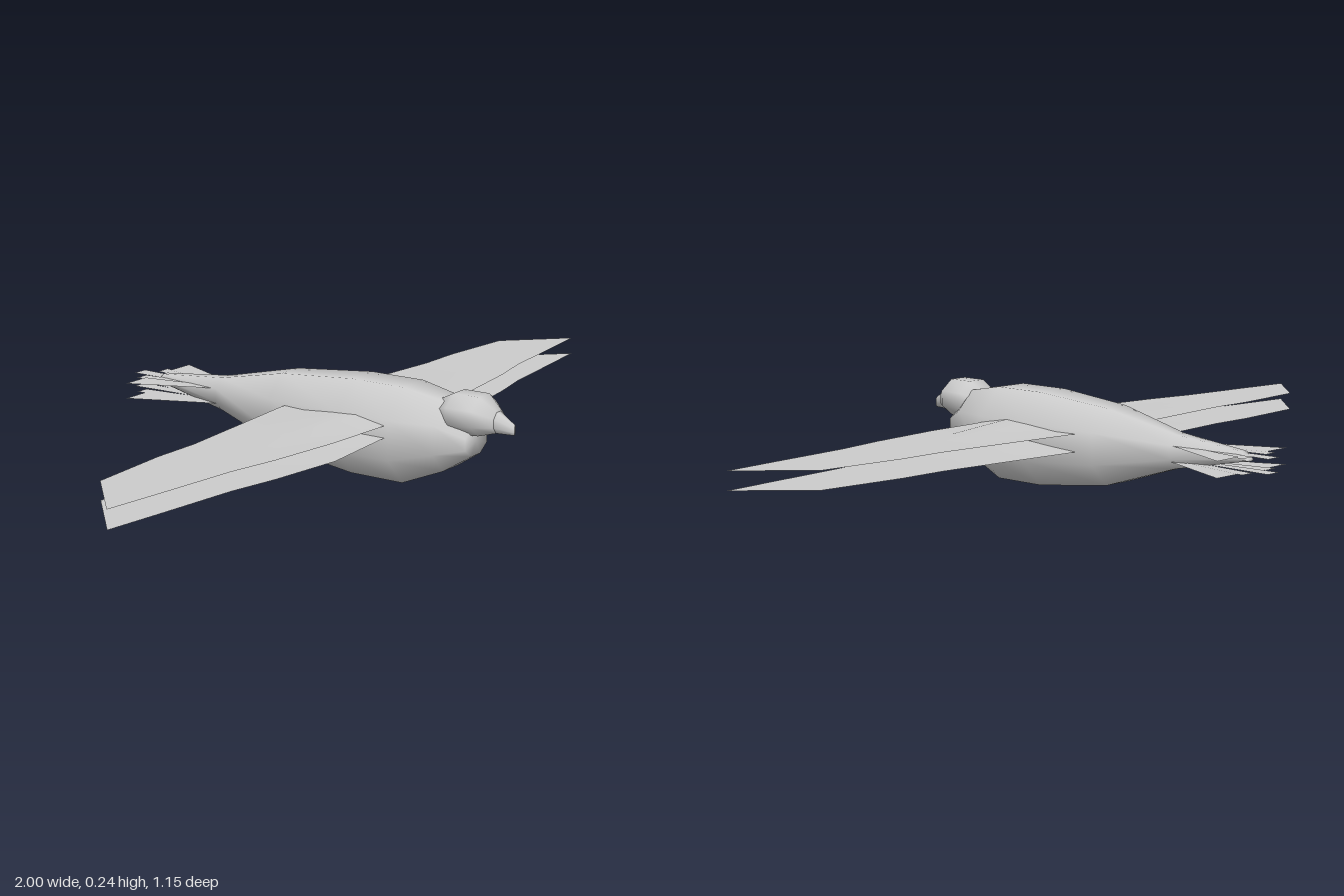
import * as THREE from 'three';

const smooth = new THREE.MeshStandardMaterial({ color: 0xcccccc });
const sheetMaterial = new THREE.MeshStandardMaterial({ color: 0xcccccc, side: THREE.DoubleSide });

function makeMesh(name, positions, index, material) {
  const geometry = new THREE.BufferGeometry();
  geometry.setAttribute('position', new THREE.Float32BufferAttribute(positions, 3));
  geometry.setIndex(index);
  geometry.computeVertexNormals();
  const mesh = new THREE.Mesh(geometry, material);
  mesh.name = name;
  return mesh;
}

// Eight-sided loft through sections [z, bottom, top, halfWidth], from back to front.
function loft(name, sections) {
  const sides = 8, positions = [], index = [];
  const grow = 1 / Math.cos(Math.PI / sides);
  const first = sections[0], last = sections[sections.length - 1];
  const point = ([z, bottom, top]) => [z, (bottom + top) / 2, (bottom + top) / 2, 0];
  const rings = [point(first), ...sections, point(last)];
  rings.forEach(([z, bottom, top, w]) => {
    for (let k = 0; k < sides; k++) {
      const a = ((k + 0.5) / sides) * Math.PI * 2;
      positions.push(Math.cos(a) * w * grow,
        (bottom + top) / 2 + Math.sin(a) * grow * (top - bottom) / 2, z);
    }
  });
  for (let i = 0; i < rings.length - 1; i++) {
    for (let k = 0; k < sides; k++) {
      const a = i * sides + k, b = i * sides + (k + 1) % sides;
      index.push(a, b, b + sides, a, b + sides, a + sides);
    }
  }
  return makeMesh(name, positions, index, smooth);
}

// Wing sheet: stations [x, leading z, trailing z], arched only near the root.
const stations = [
  [0.06, 0.285, -0.03], [0.11, 0.28, -0.03], [0.3, 0.27, -0.01], [0.5, 0.245, 0.01],
  [0.63, 0.22, 0.01], [0.85, 0.197, 0.03], [1, 0.18, 0.18],
];
function wingSheet(name, side, y, camber) {
  const positions = [], index = [], n = camber.length;
  stations.forEach(([x, lead, trail]) => {
    const arch = Math.max(0, 1 - (x - 0.11) / 0.19);
    camber.forEach(([t, rise]) => {
      positions.push(side * x, y + rise * Math.min(arch, 1), lead + (trail - lead) * t);
    });
  });
  for (let i = 0; i < stations.length - 1; i++) {
    for (let j = 0; j < n - 1; j++) {
      const a = i * n + j, b = a + 1, c = a + n, d = c + 1;
      if (side > 0) index.push(a, c, d, a, d, b);
      else index.push(a, d, c, a, b, d);
    }
  }
  return makeMesh(name, positions, index, sheetMaterial);
}

// Flat tail feather with four corners [x, z].
function feather(name, side, y, corners) {
  const positions = corners.flatMap(([x, z]) => [side * x, y, z]);
  return makeMesh(name, positions, side > 0 ? [0, 1, 2, 0, 2, 3] : [0, 2, 1, 0, 3, 2], sheetMaterial);
}

export function createModel() {
  const bird = new THREE.Group();
  bird.name = 'bird';

  // Body from tail tip to breast
  bird.add(loft('body', [
    [-0.508, 0.132, 0.138, 0.012], [-0.49, 0.13, 0.155, 0.02], [-0.29, 0.09, 0.175, 0.04],
    [-0.08, 0.025, 0.22, 0.087], [0.14, 0, 0.24, 0.11], [0.29, 0, 0.24, 0.11],
    [0.4, 0.045, 0.22, 0.085], [0.47, 0.09, 0.16, 0.05],
  ]));

  // Head and hooked beak
  bird.add(loft('head', [
    [0.38, 0.15, 0.22, 0.045], [0.42, 0.14, 0.24, 0.06], [0.49, 0.145, 0.24, 0.06],
    [0.53, 0.155, 0.21, 0.028],
  ]));
  bird.add(loft('beak', [[0.515, 0.155, 0.212, 0.028], [0.535, 0.155, 0.204, 0.02], [0.575, 0.155, 0.18, 0.004]]));

  // Wings: an upper and a lower sheet on each side
  const upperCamber = [[0, 0], [0.27, 0.015], [0.48, 0.011], [0.8, 0], [1, 0]];
  const lowerCamber = [[0, 0.015], [0.27, 0.015], [0.48, 0.015], [0.8, 0.005], [1, 0]];
  for (const side of [1, -1]) {
    const wing = new THREE.Group();
    wing.name = side > 0 ? 'leftWing' : 'rightWing';
    wing.add(wingSheet('upperWingSurface', side, 0.156, upperCamber));
    wing.add(wingSheet('lowerWingSurface', side, 0.111, lowerCamber));
    bird.add(wing);
  }

  // Tail fan: two layers of flat feathers
  const tail = new THREE.Group();
  tail.name = 'tail';
  for (const [y, step] of [[0.15, -0.001], [0.11, 0.001]]) {
    for (const side of [1, -1]) {
      tail.add(feather('outerTailFeather', side, y,
        [[0.01, -0.28], [0.03, -0.28], [0.13, -0.515], [0.05, -0.515]]));
      tail.add(feather('middleTailFeather', side, y + step,
        [[0, -0.29], [0.018, -0.29], [0.063, -0.535], [0.025, -0.535]]));
    }
    tail.add(feather('centreTailFeather', 1, y + 2 * step,
      [[-0.01, -0.3], [0.01, -0.3], [0.021, -0.578], [-0.021, -0.578]]));
  }
  bird.add(tail);
  return bird;
}
